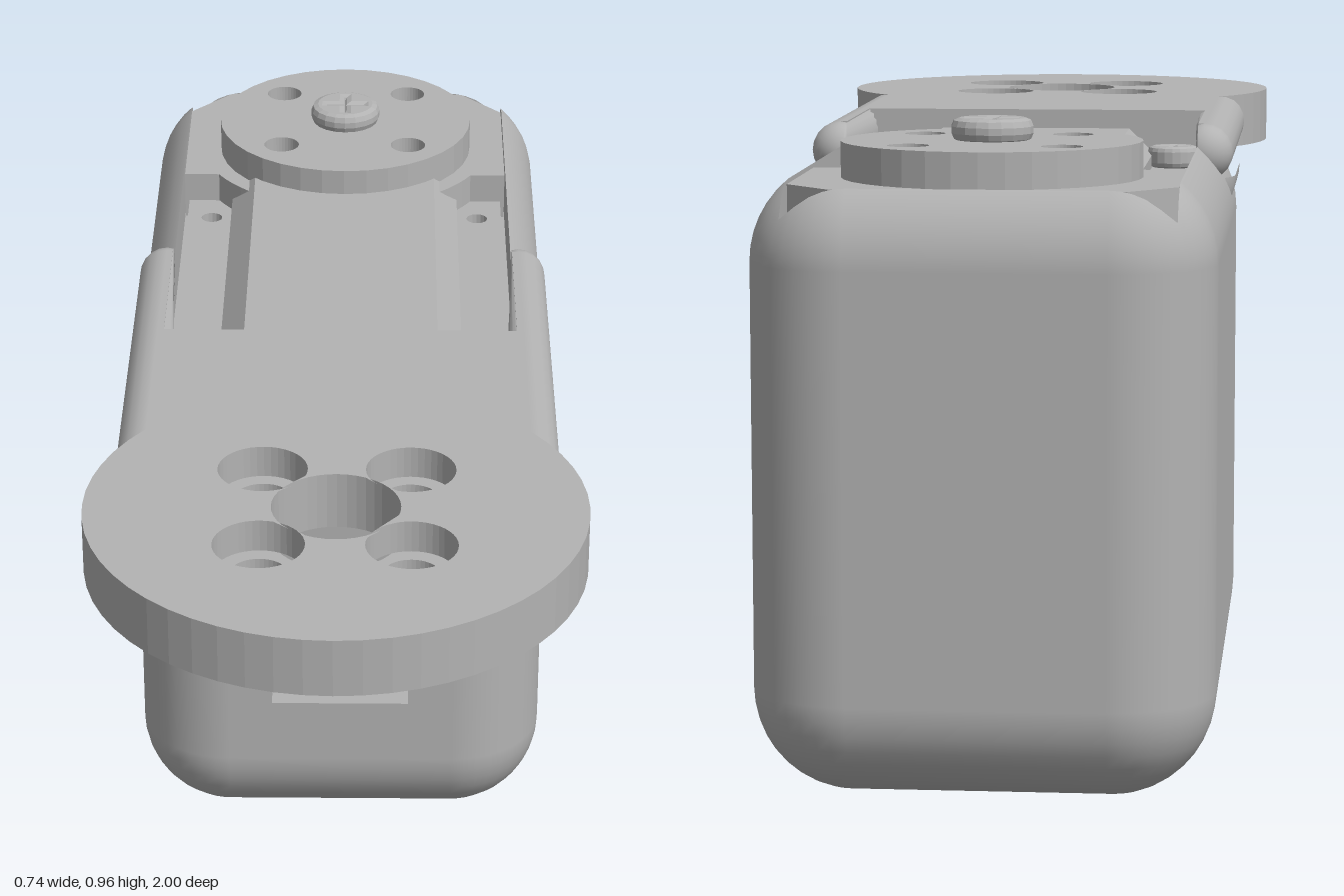
import * as THREE from 'three';

const grey = new THREE.MeshStandardMaterial({ color: 0xb3b3b3 });
grey.name = 'plain grey';
const V = (x, y, z) => new THREE.Vector3(x, y, z);

function add(group, name, geometry) {
  const mesh = new THREE.Mesh(geometry, grey);
  mesh.name = name;
  group.add(mesh);
  return mesh;
}

// Flat slab from a plan outline drawn in (x, -z)
function slab(shape, y0, y1, segments = 20, options = {}) {
  return new THREE.ExtrudeGeometry(shape, { depth: y1 - y0, bevelEnabled: false, curveSegments: segments, ...options })
    .rotateX(-Math.PI / 2).translate(0, y0, 0);
}
const outline = (points) => new THREE.Shape(points.map(([x, y]) => new THREE.Vector2(x, y)));
const circle = (x, z, r, type = THREE.Path) => new type().absarc(x, -z, r, 0, Math.PI * 2, false);

// Cuts a convex hole (anticlockwise in axes u, v) out of the polygons that pass the test
function cutHole(polys, hole, u, v, test) {
  const out = [];
  for (const poly of polys) {
    if (!poly.every(test)) { out.push(poly); continue; }
    const pieces = [];
    let inside = poly;
    hole.forEach(([au, av], i) => {
      const [bu, bv] = hole[(i + 1) % hole.length];
      const side = (p) => (bu - au) * (p[v] - av) - (bv - av) * (p[u] - au);
      const keep = [], drop = [];
      inside.forEach((p, k) => {
        const q = inside[(k + 1) % inside.length];
        const dp = side(p), dq = side(q);
        (dp >= 0 ? keep : drop).push(p);
        if (dp >= 0 !== dq >= 0) {
          const m = p.clone().lerp(q, dp / (dp - dq));
          keep.push(m);
          drop.push(m);
        }
      });
      if (drop.length > 2) pieces.push(drop);
      inside = keep;
    });
    if (inside.length > 2) out.push(...pieces);
    else out.push(poly);
  }
  return out;
}

// Fan triangles; normalAt gives smooth normals, otherwise faces stay flat
function toGeometry(polys, normalAt) {
  const pos = [], nor = [];
  for (const p of polys) {
    for (let i = 1; i + 1 < p.length; i++) {
      for (const q of [p[0], p[i], p[i + 1]]) {
        pos.push(q.x, q.y, q.z);
        if (normalAt) nor.push(...normalAt(q).toArray());
      }
    }
  }
  const g = new THREE.BufferGeometry();
  g.setAttribute('position', new THREE.Float32BufferAttribute(pos, 3));
  if (normalAt) g.setAttribute('normal', new THREE.Float32BufferAttribute(nor, 3));
  else g.computeVertexNormals();
  return g;
}

function strip(a, b) {
  return a.flatMap((p, i) => {
    const j = (i + 1) % a.length;
    return [[p, b[i], a[j]], [a[j], b[i], b[j]]];
  });
}

// Rounded tub: round floor and corners; the top curves in until it meets the pocket
function tub({ hx, z0, z1, r, y0, yTop, pocket }) {
  const N = 10, cx = hx - r, columns = [];
  for (let k = 0; k < 4; k++) {
    for (let j = 0; j <= N; j++) {
      const a = (k + j / N) * Math.PI / 2, nx = Math.cos(a), nz = Math.sin(a);
      const x = k === 0 || k === 3 ? cx : -cx, z = k < 2 ? z1 - r : z0 + r;
      let top = 0;
      if (pocket) {
        const tx = Math.abs(nx) > 1e-6 ? (pocket.hx - cx) / Math.abs(nx) : 9;
        const tz = Math.abs(nz) > 1e-6 ? ((nz > 0 ? pocket.z1 : pocket.z0) - z) / nz : 9;
        top = Math.acos(Math.min(1, tx, tz) === 1 ? 1 : Math.min(tx, tz, r) / r);
      }
      columns.push({ x, z, nx, nz, top });
    }
  }
  const ring = (y, angle) => columns.map((c) => {
    const f = angle(c), t = r * Math.cos(f);
    return V(c.x + c.nx * t, y + r * Math.sin(f), c.z + c.nz * t);
  });
  const rings = [];
  for (let i = 0; i <= N; i++) rings.push(ring(y0 + r, () => (i / N - 1) * Math.PI / 2));
  for (let i = 0; i <= 6; i++) rings.push(ring(yTop, (c) => c.top * i / 6));
  const polys = [0, 1, 2, 3].map((k) => rings[0][k * (N + 1)]);
  const all = [polys];
  for (let i = 0; i + 1 < rings.length; i++) all.push(...strip(rings[i], rings[i + 1]));
  const normalAt = (p) => p.clone().sub(V(
    THREE.MathUtils.clamp(p.x, -cx, cx),
    THREE.MathUtils.clamp(p.y, y0 + r, yTop),
    THREE.MathUtils.clamp(p.z, z0 + r, z1 - r))).normalize();
  return { polys: all, rim: rings[rings.length - 1], normalAt };
}

// Screw head with a cross recess, standing on y = 0
function screw(r, h) {
  const g = new THREE.Group();
  const a = r * 0.17, b = r * 0.68, e = r * 0.2;
  const head = circle(0, 0, r - e, THREE.Shape);
  head.holes.push(outline([[a, b], [-a, b], [-a, a], [-b, a], [-b, -a], [-a, -a],
    [-a, -b], [a, -b], [a, -a], [b, -a], [b, a], [a, a]]));
  add(g, 'screwHead', slab(head, e, h - e, 10,
    { bevelEnabled: true, bevelThickness: e, bevelSize: e, bevelOffset: 0, bevelSegments: 2 }));
  add(g, 'screwCore', new THREE.CylinderGeometry(r * 0.8, r * 0.8, h * 0.4, 20).translate(0, h * 0.2, 0));
  return g;
}

export function createModel() {
  const model = new THREE.Group();
  model.name = 'servoHousingWithArm';

  // Housing with a pocket on top, a front window and four screw holes below
  const R = 0.15;
  const body = tub({ hx: 0.335, z0: -1, z1: 0.14, r: R, y0: 0, yTop: 0.77, pocket: { hx: 0.28, z0: -0.95, z1: 0.07 } });
  let polys = cutHole(body.polys, [[-0.113, 0.26], [0.113, 0.26], [0.113, 0.735], [-0.113, 0.735]], 'x', 'y', (p) => p.z > 0.1);
  const holeR = 0.045, sides = 20;
  for (const x of [-0.232, 0.232]) {
    for (const z of [0.03, -0.52]) {
      const rim = [];
      for (let i = 0; i < sides; i++) {
        const a = i / sides * Math.PI * 2;
        rim.push([x + holeR * Math.cos(a), z + holeR * Math.sin(a)]);
      }
      polys = cutHole(polys, rim, 'x', 'z', (p) => p.y < 0.2);
      const low = rim.map(([px, pz]) => {
        const dx = Math.max(0, Math.abs(px) - 0.185), dz = Math.max(0, pz + 0.01);
        return V(px, R - Math.sqrt(Math.max(0, R * R - dx * dx - dz * dz)), pz);
      });
      const high = rim.map(([px, pz]) => V(px, 0.14, pz));
      add(model, 'bottomScrewHole', toGeometry([...strip(high, low), high]));
    }
  }
  add(model, 'housing', toGeometry(polys, body.normalAt));
  add(model, 'pocketWall', toGeometry(strip(body.rim, body.rim.map((p) => V(p.x, 0.77, p.z)))));
  const frame = outline([[-0.15, 0.22], [0.15, 0.22], [0.15, 0.76], [-0.15, 0.76]]);
  frame.holes.push(outline([[-0.113, 0.26], [-0.113, 0.735], [0.113, 0.735], [0.113, 0.26]]));
  add(model, 'windowFrame', new THREE.ExtrudeGeometry(frame, { depth: 0.07, bevelEnabled: false }).translate(0, 0, 0.069));

  // Servo: body, ears, raised cover and gearbox
  const servo = new THREE.Group();
  servo.name = 'servo';
  model.add(servo);
  add(servo, 'servoBody', new THREE.BoxGeometry(0.56, 0.6, 1.02).translate(0, 0.5, -0.44));
  const ears = outline([[-0.272, -0.06], [0.272, -0.06], [0.272, 0.6], [-0.272, 0.6]]);
  for (const x of [-0.23, 0.23]) for (const z of [-0.53, -0.07]) ears.holes.push(circle(x, z, 0.018));
  add(servo, 'mountingEars', slab(ears, 0.79, 0.83, 8));
  const cover = outline([[-0.195, 0.8], [0.195, 0.8], [0.195, 0.85], [0.155, 0.89], [-0.155, 0.89], [-0.195, 0.85]]);
  add(servo, 'raisedCover', new THREE.ExtrudeGeometry(cover, { depth: 0.66, bevelEnabled: false }).translate(0, 0, -0.6));
  const gearbox = outline([[0.279, 0.6], [0.279, 0.87], [0.21, 0.948], [-0.21, 0.948], [-0.279, 0.87], [-0.279, 0.6], [-0.219, 0.6]]);
  gearbox.absarc(0, 0.72, 0.25, Math.PI + 0.5, Math.PI * 2 - 0.5, false);
  add(servo, 'gearbox', slab(gearbox, 0.79, 0.88));
  for (const x of [-0.23, 0.23]) {
    const s = screw(0.042, 0.035);
    s.name = 'earScrew';
    s.position.set(x, 0.83, 0.025);
    servo.add(s);
  }

  // Output disc with four holes and its centre screw
  const horn = circle(0, -0.72, 0.22, THREE.Shape);
  for (const x of [-0.11, 0.11]) for (const z of [-0.83, -0.61]) horn.holes.push(circle(x, z, 0.03));
  add(model, 'outputDisc', slab(horn, 0.88, 0.933, 18));
  const centreScrew = screw(0.06, 0.034);
  centreScrew.name = 'centreScrew';
  centreScrew.position.set(0, 0.931, -0.715);
  model.add(centreScrew);

  // Arm: forked plate ending in a disc, with counterbored holes
  const armLayer = (boltR, y0, y1) => {
    const s = outline([[0.29, -0.4], [0.29, 0.215], [0.28, 0.215], [0.28, -0.07], [-0.28, -0.07], [-0.28, 0.215], [-0.29, 0.215], [-0.29, -0.4]]);
    const a = Math.atan2(0.23, 0.29);
    s.absarc(0, -0.63, 0.37, Math.PI - a, Math.PI * 2 + a, false);
    s.holes.push(circle(0, 0.63, 0.095));
    for (const x of [-0.11, 0.11]) for (const z of [0.52, 0.74]) s.holes.push(circle(x, z, boltR));
    add(model, 'armPlate', slab(s, y0, y1));
  };
  armLayer(0.043, 0.83, 0.87);
  armLayer(0.067, 0.87, 0.92);

  // Rounded rails along both arm edges, flat on the inside
  for (const side of [1, -1]) {
    const rail = new THREE.CapsuleGeometry(0.045, 0.66, 8, 20).rotateX(Math.PI / 2).translate(side * 0.29, 0.875, 0.115);
    const p = rail.attributes.position;
    for (let i = 0; i < p.count; i++) {
      if (p.getZ(i) < 0.08) p.setX(i, side * Math.max(0.28, side * p.getX(i)));
    }
    add(model, 'armRail', rail);
  }

  // Rounded collar under the arm
  const collar = tub({ hx: 0.337, z0: -0.24, z1: 0.2, r: 0.1, y0: 0.732, yTop: 0.832 });
  add(model, 'armCollar', toGeometry(collar.polys, collar.normalAt));
  return model;
}
